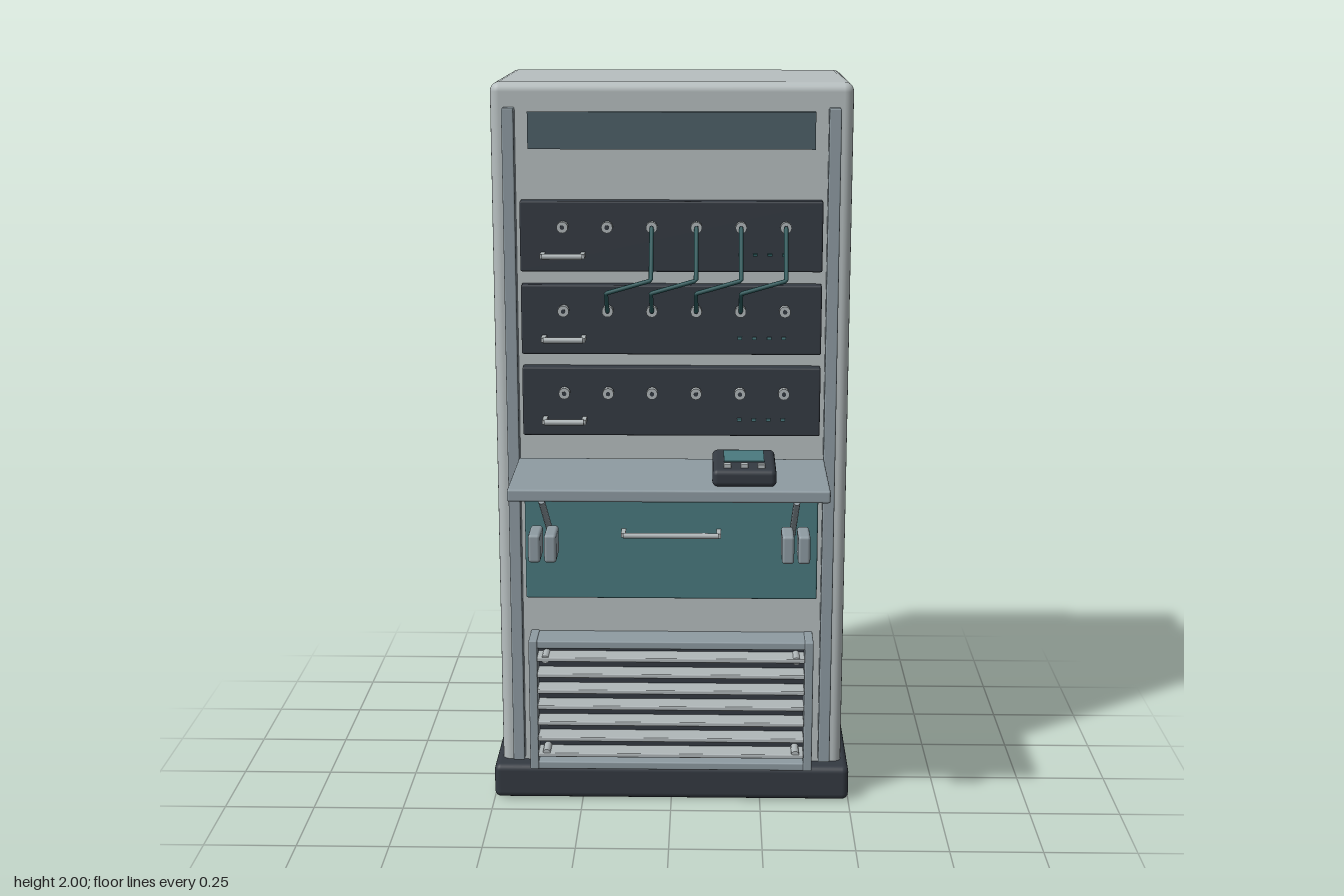
import * as THREE from 'three';
import { RoundedBoxGeometry } from 'three/addons/geometries/RoundedBoxGeometry.js';

const mat = (name, color) => {
  const m = new THREE.MeshStandardMaterial({ color });
  m.name = name;
  return m;
};

export function createModel() {
  const model = new THREE.Group();
  model.name = 'equipmentRack';
  const shell = mat('pale grey enamel', 0xb7bfc0);
  const steel = mat('blue grey steel', 0x8e9ba2);
  const dark = mat('charcoal', 0x343a42);
  const teal = mat('teal', 0x4a7a7f);
  const slate = mat('slate glass', 0x4d5f67);
  const cableMat = mat('dark teal cable', 0x2c5c5e);
  const metal = mat('light metal', 0xb0b7b9);

  // Box given by its extents, with softened edges when r > 0
  function box(name, m, [x0, x1], [y0, y1], [z0, z1], r = 0, parent = model) {
    const w = x1 - x0, h = y1 - y0, d = z1 - z0;
    const g = r > 0 ? new RoundedBoxGeometry(w, h, d, 3, r) : new THREE.BoxGeometry(w, h, d);
    const mesh = new THREE.Mesh(g, m);
    mesh.name = name;
    mesh.position.set((x0 + x1) / 2, (y0 + y1) / 2, (z0 + z1) / 2);
    parent.add(mesh);
    return mesh;
  }

  // Straight round bar between two points
  function rod(name, m, a, b, r, parent = model, sides = 12) {
    const p = new THREE.Vector3(...a), q = new THREE.Vector3(...b);
    const dir = q.clone().sub(p);
    const mesh = new THREE.Mesh(new THREE.CylinderGeometry(r, r, dir.length(), sides), m);
    mesh.name = name;
    mesh.position.copy(p).add(q).multiplyScalar(0.5);
    mesh.quaternion.setFromUnitVectors(new THREE.Vector3(0, 1, 0), dir.normalize());
    parent.add(mesh);
    return mesh;
  }

  function group(name) {
    const g = new THREE.Group();
    g.name = name;
    model.add(g);
    return g;
  }

  // Pull handle: two posts and a bar
  function handle(x0, x1, y, z, parent) {
    for (const x of [x0, x1]) box('handlePost', metal, [x - 0.006, x + 0.006], [y - 0.006, y + 0.006], [z, z + 0.048], 0, parent);
    rod('handleBar', metal, [x0, y, z + 0.048], [x1, y, z + 0.048], 0.008, parent);
  }

  // Cabinet and plinth
  box('cabinet', shell, [-0.48, 0.48], [0, 2], [-0.48, 0.127], 0.025);
  box('plinth', dark, [-0.5, 0.5], [0.001, 0.1], [-0.49, 0.175], 0.018);
  for (const s of [-1, 1]) box('rackRail', steel, [s * 0.43 - 0.016, s * 0.43 + 0.016], [0.11, 1.935], [0.12, 0.162], 0.004);

  // Header window
  box('headerPanel', slate, [-0.38, 0.38], [1.826, 1.924], [0.12, 0.14]);

  // Patch modules with sockets, handle and indicator lamps
  const jackX = (i) => -0.287 + 0.118 * i;
  [1.598, 1.374, 1.15].forEach((y, row) => {
    const unit = group('patchModule');
    box('modulePanel', dark, [-0.402, 0.402], [y - 0.094, y + 0.094], [0.12, 0.164], 0.005, unit);
    for (let i = 0; i < 6; i++) {
      const x = jackX(i), jy = y + 0.028;
      rod('socketStem', steel, [x, jy, 0.16], [x, jy, 0.175], 0.009, unit);
      rod('socket', metal, [x, jy, 0.172], [x, jy, 0.195], 0.015, unit, 16);
      rod('socketHole', dark, [x, jy, 0.19], [x, jy, 0.196], 0.006, unit);
    }
    handle(-0.34, -0.234, y - 0.047, 0.164, unit);
    for (let i = 0; i < 4; i++) {
      const x = 0.184 + 0.039 * i;
      box('indicatorLamp', row ? teal : cableMat, [x - 0.006, x + 0.006], [y - 0.051, y - 0.044], [0.16, 0.171], 0, unit);
    }
  });

  // Patch cables from the upper module to the middle one
  for (let i = 2; i < 6; i++) {
    const x = jackX(i), x2 = jackX(i - 1);
    const pts = [[x, 1.627, 0.192], [x, 1.497, 0.265], [x2, 1.463, 0.265], [x2, 1.402, 0.192]];
    const path = new THREE.CurvePath();
    const v = pts.map((p) => new THREE.Vector3(...p));
    for (let k = 0; k < 3; k++) path.add(new THREE.LineCurve3(v[k], v[k + 1]));
    const cable = new THREE.Mesh(new THREE.TubeGeometry(path, 60, 0.006, 8), cableMat);
    cable.name = 'patchCable';
    model.add(cable);
  }

  // Work shelf with braces and clamp blocks
  box('shelf', steel, [-0.416, 0.416], [0.957, 0.99], [0.15, 0.49], 0.006);
  for (const s of [-1, 1]) {
    const x = s * 0.332, brace = group('shelfBrace');
    rod('braceStrut', steel, [x, 0.945, 0.432], [x, 0.774, 0.15], 0.009, brace);
    rod('braceArm', steel, [x, 0.945, 0.432], [x, 0.939, 0.15], 0.006, brace);
    for (const t of [-1, 1]) {
      const c = x + t * 0.021;
      box('clampBlock', steel, [c - 0.016, c + 0.016], [0.777, 0.853], [0.338, 0.437], 0.008, brace);
    }
  }

  // Handheld meter on the shelf
  const meter = group('meter');
  box('meterBody', dark, [0.112, 0.278], [0.99, 1.036], [0.224, 0.458], 0.014, meter);
  box('meterScreen', teal, [0.142, 0.248], [1.032, 1.039], [0.25, 0.37], 0, meter);
  for (const x of [0.151, 0.195, 0.239]) box('meterButton', metal, [x - 0.01, x + 0.01], [1.03, 1.046], [0.415, 0.435], 0.002, meter);

  // Drawer
  const drawer = group('drawer');
  box('drawerFront', teal, [-0.402, 0.402], [0.592, 0.887], [0.12, 0.162], 0.005, drawer);
  handle(-0.13, 0.13, 0.787, 0.162, drawer);

  // Ventilation grille
  const grille = group('grille');
  box('grilleBack', dark, [-0.38, 0.38], [0.115, 0.475], [0.12, 0.175], 0, grille);
  for (const s of [-1, 1]) {
    box('grillePost', steel, [s * 0.381 - 0.012, s * 0.381 + 0.012], [0.108, 0.487], [0.12, 0.222], 0.004, grille);
    for (const y of [0.162, 0.437]) rod('grilleScrew', metal, [s * 0.346, y, 0.17], [s * 0.346, y, 0.234], 0.011, grille);
  }
  for (const y of [0.119, 0.474]) box('grilleRail', steel, [-0.38, 0.38], [y - 0.011, y + 0.011], [0.12, 0.218], 0.004, grille);
  for (let i = 0; i < 7; i++) {
    const y = 0.157 + 0.0467 * i;
    box('grilleSlat', metal, [-0.369, 0.369], [y - 0.006, y + 0.006], [0.165, 0.236], 0.003, grille);
  }
  return model;
}
